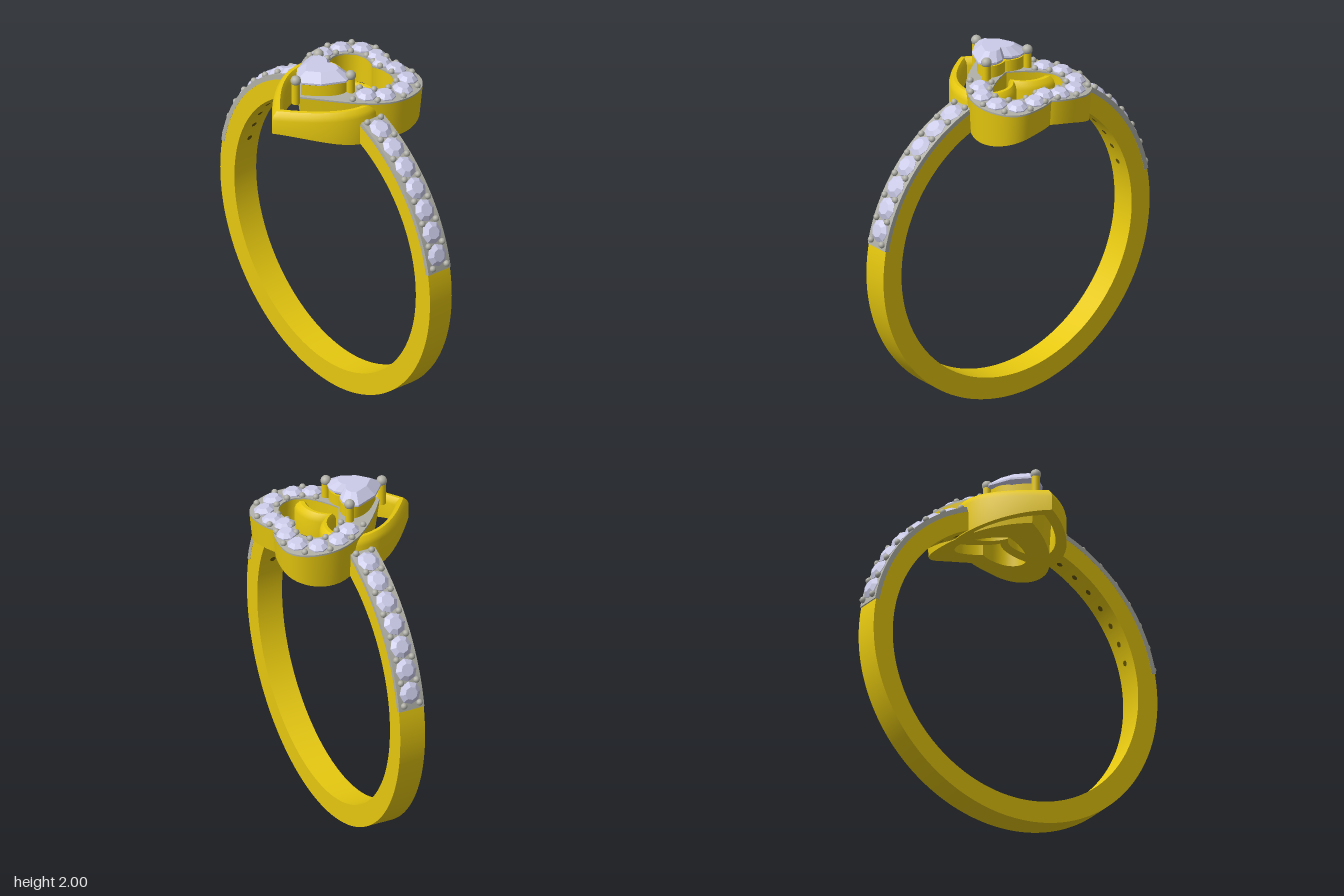
import * as THREE from 'three';
import { toCreasedNormals } from 'three/addons/utils/BufferGeometryUtils.js';

const gold = new THREE.MeshStandardMaterial({ color: 0xe6c80f });
const grey = new THREE.MeshStandardMaterial({ color: 0xb0b0a8 });
const holeMat = new THREE.MeshStandardMaterial({ color: 0x6b5a08 });
const gem = new THREE.MeshStandardMaterial({ color: 0xccccea, flatShading: true });

const CY = 0.91, R_OUT = 0.91, R_IN = 0.787, BAND_Z = -0.015, BAND_W = 0.15;
const rad = THREE.MathUtils.degToRad;

function add(parent, name, geometry, material, x = 0, y = 0, z = 0) {
  const m = new THREE.Mesh(geometry, material);
  m.name = name;
  m.position.set(x, y, z);
  parent.add(m);
  return m;
}

// Half a heart as three Bezier pieces in (x, z); t runs 0..3 from notch to tip
function heart(w, back, notch, side, tip) {
  const V = (x, z) => new THREE.Vector2(x, z);
  const L = tip - side;
  const pieces = [
    new THREE.CubicBezierCurve(V(0, notch), V(0.1 * w, notch + 0.6 * (back - notch)), V(0.28 * w, back), V(0.5 * w, back)),
    new THREE.CubicBezierCurve(V(0.5 * w, back), V(0.8 * w, back), V(w, side + 0.55 * (back - side)), V(w, side)),
    new THREE.CubicBezierCurve(V(w, side), V(w, side + 0.42 * L), V(0.4 * w, tip - 0.22 * L), V(0, tip)),
  ];
  return t => { const k = Math.min(2, Math.floor(t)); return pieces[k].getPoint(t - k); };
}

// Point i of n around the full heart, mirrored for the second half
function around(h, i, n) {
  const u = (i % n) / n * 6;
  const p = h(u <= 3 ? u : 6 - u);
  if (u > 3) p.x = -p.x;
  return p;
}

// Skin a grid of points: loops closed along i, profile rows along j
function skin(n, rows, closed, point) {
  const pos = [], idx = [];
  for (let i = 0; i < n; i++) for (let j = 0; j < rows; j++) pos.push(...point(i, j));
  for (let i = 0; i < n; i++) for (let j = 0; j < (closed ? rows : rows - 1); j++) {
    const i2 = (i + 1) % n, j2 = (j + 1) % rows;
    const a = i * rows + j, b = i * rows + j2, c = i2 * rows + j, d = i2 * rows + j2;
    idx.push(a, b, c, b, d, c);
  }
  const g = new THREE.BufferGeometry();
  g.setAttribute('position', new THREE.Float32BufferAttribute(pos, 3));
  g.setIndex(idx);
  return g;
}

// Heart-shaped wall; profile entries are [0 outer .. 1 inner, y rule]
function heartWall(outer, inner, profile, n = 84) {
  const g = skin(n, profile.length, true, (i, j) => {
    const p = around(outer, i, n).lerp(around(inner, i, n), profile[j][0]);
    return [p.x, profile[j][1](p.x, p.y), p.y];
  });
  return toCreasedNormals(g, 0.6);
}

const fingerY = x => 0.905 + Math.sqrt(R_IN * R_IN - x * x);
const haloTop = (x, z) => 1.87 - 0.2 * x * x - 0.18 * z * z;
const flat = y => () => y;

// Arc-shaped bar lying in the band's plane
function arcBar(rIn, rOut, a0, a1, width, segs) {
  const s = new THREE.Shape();
  s.absarc(0, 0, rOut, a0, a1, false);
  s.absarc(0, 0, rIn, a1, a0, true);
  const g = new THREE.ExtrudeGeometry(s, { depth: width, bevelEnabled: false, curveSegments: segs });
  g.translate(0, CY, BAND_Z - width / 2);
  return toCreasedNormals(g, 0.6);
}

// Small faceted stone with its girdle at y = 0
function stoneGeometry(r) {
  const pts = [[0, -0.05], [r, -0.004], [r, 0.004], [r * 0.58, 0.024], [0, 0.024]];
  return new THREE.LatheGeometry(pts.map(p => new THREE.Vector2(...p)), 8);
}

export function createModel() {
  const ring = new THREE.Group();
  ring.name = 'ring';
  const bead = new THREE.SphereGeometry(0.018, 12, 8);

  // Band, open under the head
  add(ring, 'band', arcBar(R_IN, R_OUT, rad(110), rad(430), BAND_W, 96), gold);

  // Stone-set shoulders
  const bandStone = stoneGeometry(0.063);
  const hole = new THREE.CircleGeometry(0.016, 10);
  for (const side of [1, -1]) {
    const shoulder = new THREE.Group();
    shoulder.name = side > 0 ? 'leftShoulder' : 'rightShoulder';
    ring.add(shoulder);
    const a0 = side > 0 ? 11 : 110, a1 = side > 0 ? 70 : 169;
    add(shoulder, 'stoneSeat', arcBar(0.89, 0.917, rad(a0), rad(a1), BAND_W + 0.002, 24), grey);
    for (let k = 0; k < 8; k++) {
      const b = rad(13 + 8 * k), a = rad(17 + 8 * k);
      for (const dz of [-0.047, 0.047])
        add(shoulder, 'bead', bead, grey, side * 0.924 * Math.cos(b), CY + 0.924 * Math.sin(b), BAND_Z + dz);
      if (k === 7) continue;
      const s = add(shoulder, 'bandStone', bandStone, gem, side * 0.915 * Math.cos(a), CY + 0.915 * Math.sin(a), BAND_Z);
      s.rotation.z = side * (a - Math.PI / 2);
      const h = add(shoulder, 'culetHole', hole, holeMat, side * 0.784 * Math.cos(a), CY + 0.784 * Math.sin(a), BAND_Z);
      h.lookAt(0, CY, BAND_Z);
    }
  }

  // Plain heart with a rounded top, pointing forward
  const plainOut = heart(0.31, -0.17, -0.09, 0, 0.425);
  const plainIn = heart(0.245, -0.1, -0.015, 0.01, 0.345);
  const plainTop = (x, z) => 1.84 - 0.12 * Math.max(0, z) ** 2;
  add(ring, 'plainHeart', heartWall(plainOut, plainIn, [
    [0, fingerY],
    [0, (x, z) => plainTop(x, z) - 0.045],
    [0.12, (x, z) => plainTop(x, z) - 0.02],
    [0.4, plainTop],
    [0.7, plainTop],
    [0.92, (x, z) => plainTop(x, z) - 0.02],
    [1, (x, z) => plainTop(x, z) - 0.04],
    [1, fingerY],
  ]), gold);

  // Stone-set heart behind it
  const haloOut = heart(0.35, -0.432, -0.395, -0.2, 0.25);
  const haloIn = heart(0.212, -0.295, -0.262, -0.18, 0.0);
  add(ring, 'haloHeart', heartWall(haloOut, haloIn, [
    [0.1, fingerY], [0, (x, z) => haloTop(x, z) - 0.008],
    [1, (x, z) => haloTop(x, z) - 0.008], [1, fingerY],
  ]), gold);
  add(ring, 'haloPlate', heartWall(haloOut, haloIn, [
    [0, (x, z) => haloTop(x, z) - 0.01], [0, haloTop],
    [1, haloTop], [1, (x, z) => haloTop(x, z) - 0.01],
  ]), grey);

  // Stones and beads on the halo
  const haloStone = stoneGeometry(0.057);
  const haloAt = (t, s) => haloOut(t).lerp(haloIn(t), s);
  const halo = new THREE.Group();
  halo.name = 'haloStones';
  ring.add(halo);
  for (const side of [1, -1]) {
    for (const t of [0, 0.68, 1.25, 1.74, 2.13, 2.38]) {
      if (t === 0 && side < 0) continue;
      const p = haloAt(t, 0.5);
      const s = add(halo, 'haloStone', haloStone, gem, side * p.x, haloTop(p.x, p.y) + 0.002, p.y);
      s.rotation.set(0.36 * p.y, 0, -0.4 * side * p.x);
    }
    for (const t of [0.34, 0.96, 1.5, 1.94, 2.26, 2.5])
      for (const e of [0.14, 0.88]) {
        const p = haloAt(t, e);
        add(halo, 'bead', bead, grey, side * p.x, haloTop(p.x, p.y) + 0.006, p.y);
      }
  }

  // Raised basket under the centre stone
  const center = new THREE.Group();
  center.name = 'centerSetting';
  ring.add(center);
  add(center, 'basket', heartWall(
    heart(0.135, -0.015, 0.01, 0.035, 0.225), heart(0.1, 0.015, 0.04, 0.05, 0.18),
    [[0, flat(1.83)], [0, flat(1.935)], [1, flat(1.935)], [1, flat(1.83)]], 48), gold);

  // Centre stone: culet, girdle, crown and table
  const outline = heart(0.16, -0.02, 0.02, 0.04, 0.265);
  const rows = [[0, 1.86], [1, 1.945], [1, 1.956], [0.6, 2.0], [0, 2.0]];
  add(center, 'centerStone', skin(12, rows.length, false, (i, j) => {
    const p = around(outline, i, 12);
    const [s, y] = rows[j];
    return [p.x * s, y, 0.09 + (p.y - 0.09) * s];
  }), gem);

  // Three prongs with rounded tips
  const post = new THREE.CylinderGeometry(0.024, 0.024, 0.14, 16);
  const tip = new THREE.SphereGeometry(0.029, 16, 12);
  for (const [x, z] of [[-0.14, -0.005], [0.14, -0.005], [0, 0.262]]) {
    add(center, 'prong', post, gold, x, 1.895, z);
    add(center, 'prongTip', tip, grey, x, 1.965, z);
  }
  return ring;
}
